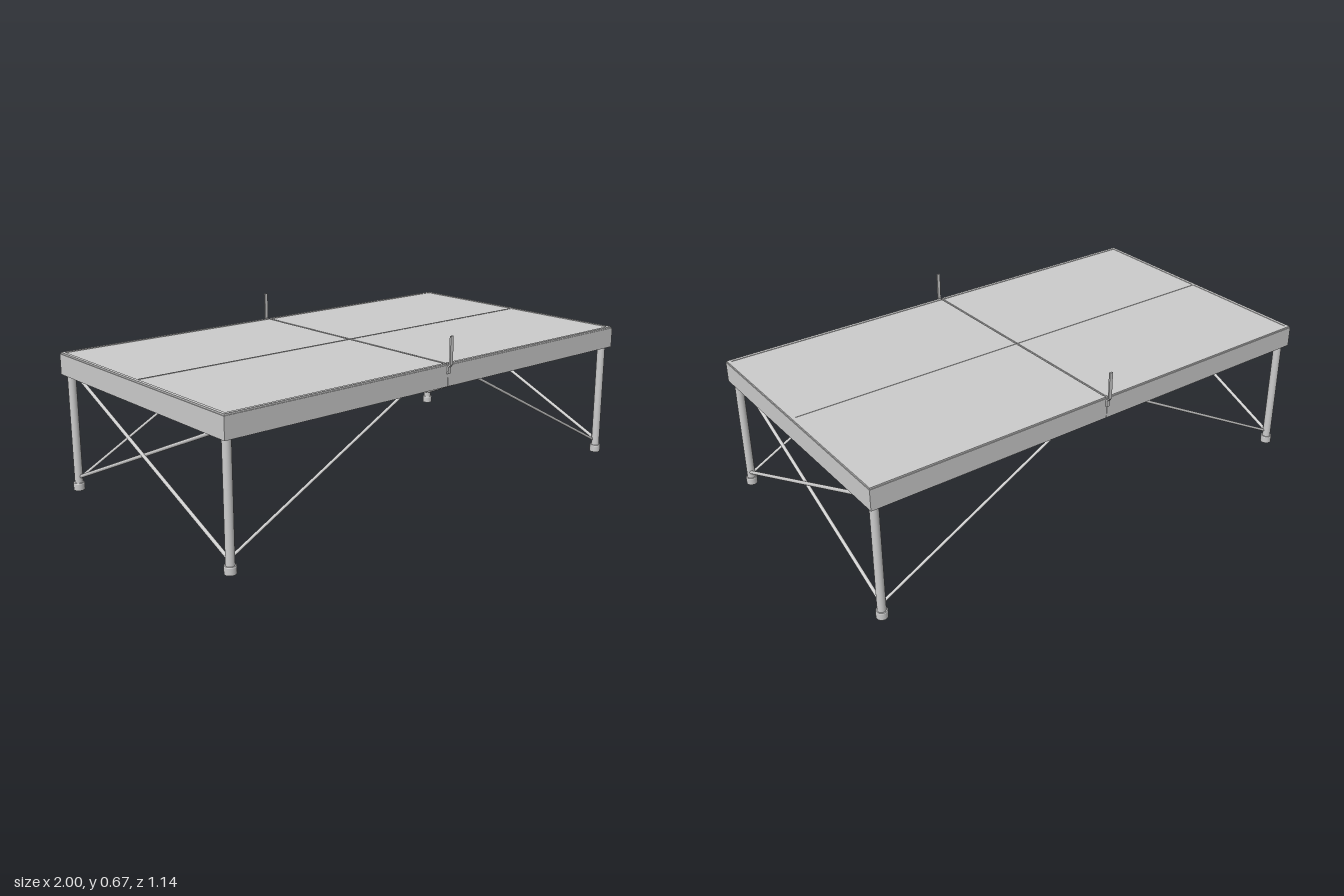
import * as THREE from 'three';

const material = new THREE.MeshStandardMaterial({ color: 0xcccccc });

function add(parent, name, geometry, x = 0, y = 0, z = 0) {
  const mesh = new THREE.Mesh(geometry, material);
  mesh.name = name;
  mesh.position.set(x, y, z);
  parent.add(mesh);
  return mesh;
}

const box = (parent, name, w, h, d, x, y, z) =>
  add(parent, name, new THREE.BoxGeometry(w, h, d), x, y, z);

// Round bar between two points
function rod(parent, name, a, b, radius) {
  const from = new THREE.Vector3(...a), to = new THREE.Vector3(...b);
  const dir = to.clone().sub(from);
  const mesh = add(parent, name, new THREE.CylinderGeometry(radius, radius, dir.length(), 12));
  mesh.position.copy(from).add(to).multiplyScalar(0.5);
  mesh.quaternion.setFromUnitVectors(new THREE.Vector3(0, 1, 0), dir.normalize());
}

const HALF_Z = 0.553, TOP = 0.556, BOTTOM = 0.47, WALL = 0.011, SEAM = 0.001;
const LEG_X = 0.972, LEG_Z = 0.522;

// One half of the table; s is the side along x
function tableHalf(s) {
  const half = new THREE.Group();
  half.name = s > 0 ? 'leftHalf' : 'rightHalf';
  const length = 1 - SEAM, midX = s * (1 + SEAM) / 2;
  const rimH = TOP - BOTTOM - 0.004, rimY = BOTTOM + rimH / 2;

  // Playing board with the deep rim around its underside
  box(half, 'board', length - 0.006, 0.012, 2 * HALF_Z - 0.006, midX, TOP - 0.006, 0);
  for (const z of [-1, 1])
    box(half, 'sideRim', length, rimH, WALL, midX, rimY, z * (HALF_Z - WALL / 2));
  for (const x of [SEAM + WALL / 2, 1 - WALL / 2])
    box(half, 'endRim', WALL, rimH, 2 * (HALF_Z - WALL), s * x, rimY, 0);

  // Painted boundary and centre lines
  for (const z of [-1, 1])
    box(half, 'sideLine', length - 0.006, 0.002, 0.013, midX, TOP + 0.001, z * (HALF_Z - 0.0095));
  box(half, 'endLine', 0.013, 0.002, 2 * HALF_Z - 0.032, s * 0.9905, TOP + 0.001, 0);
  box(half, 'centreLine', 0.983, 0.0016, 0.005, s * 0.4925, TOP + 0.0008, 0);

  // Legs with rubber feet
  const footProfile = [[0, 0], [0.022, 0], [0.0225, 0.026], [0.021, 0.03], [0.015, 0.03]]
    .map(p => new THREE.Vector2(...p));
  for (const z of [-1, 1]) {
    add(half, 'leg', new THREE.CylinderGeometry(0.0165, 0.0165, 0.525, 24), s * LEG_X, 0.2825, z * LEG_Z);
    const points = footProfile.flatMap((p, i) => i > 0 && i < 4 ? [p, p.clone()] : [p]);
    add(half, 'foot', new THREE.LatheGeometry(points, 24), s * LEG_X, 0, z * LEG_Z);

    // Long brace up to the middle, and crossing end brace
    rod(half, 'longBrace', [s * 0.958, 0.055, z * 0.515], [s * 0.055, 0.541, z * 0.515], 0.0055);
    rod(half, 'crossBrace', [s * (LEG_X + z * 0.004), 0.055, z * 0.512],
      [s * (LEG_X + z * 0.004), 0.497, -z * 0.512], 0.007);
  }
  return half;
}

// Net post: flat upright, cranked out from a clip on the rim
function netPost(s) {
  const post = new THREE.Group();
  post.name = s > 0 ? 'frontNetPost' : 'backNetPost';
  const profile = new THREE.Shape([
    [0.553, 0.52], [0.56, 0.52], [0.561, 0.546], [0.57, 0.556], [0.57, 0.665],
    [0.564, 0.665], [0.564, 0.557], [0.555, 0.548], [0.553, 0.546],
  ].map(p => new THREE.Vector2(...p)));
  const geometry = new THREE.ExtrudeGeometry(profile, { depth: 0.014, bevelEnabled: false });
  geometry.translate(0, 0, -0.007);
  geometry.rotateY(-s * Math.PI / 2);
  add(post, 'upright', geometry);
  return post;
}

export function createModel() {
  const table = new THREE.Group();
  table.name = 'tennisTable';
  for (const s of [-1, 1]) table.add(tableHalf(s), netPost(s));
  return table;
}
